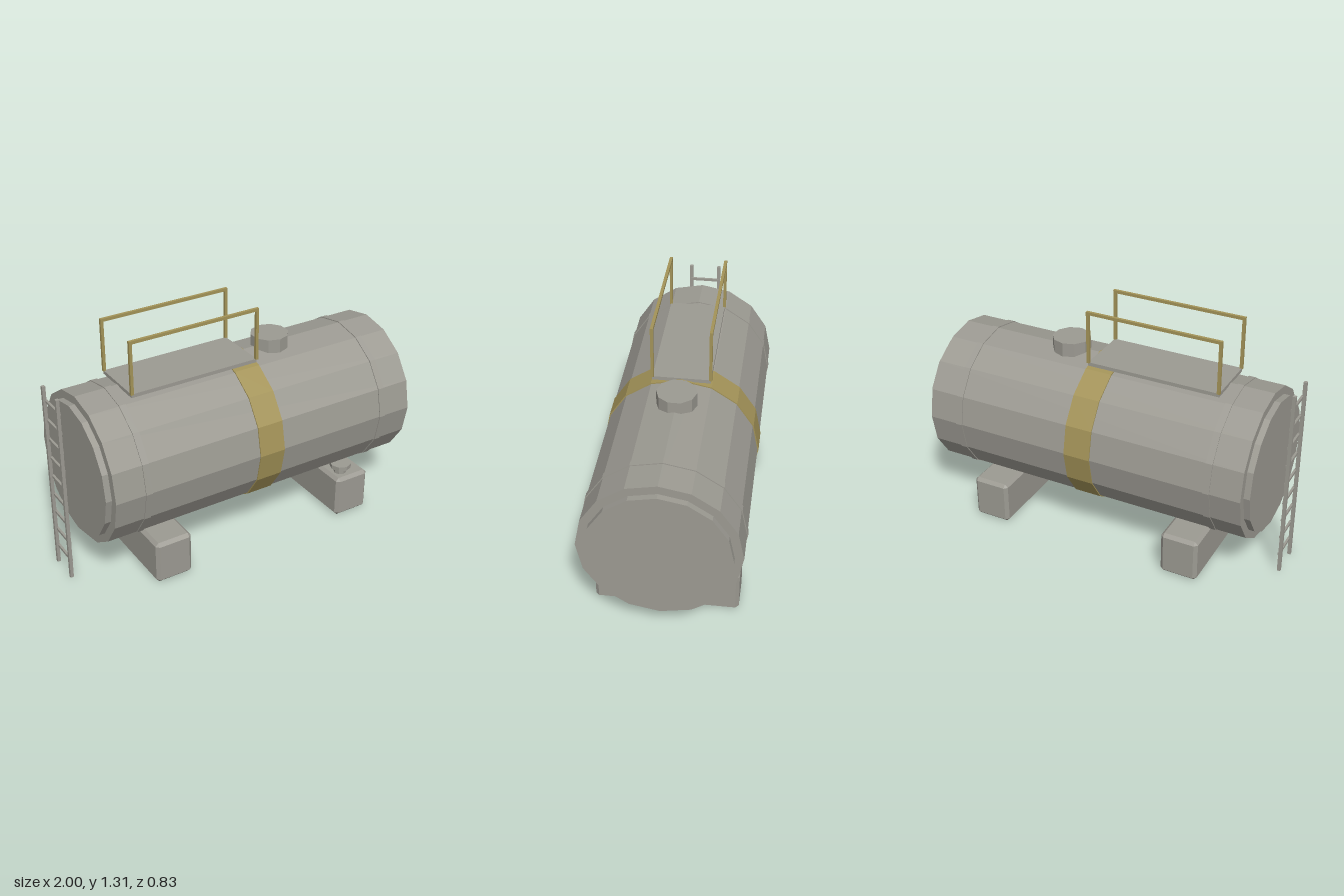
import * as THREE from 'three';
import { ConvexGeometry } from 'three/addons/geometries/ConvexGeometry.js';

const steel = new THREE.MeshStandardMaterial({ name: 'steel grey', color: 0x9c9a92, flatShading: true });
const yellow = new THREE.MeshStandardMaterial({ name: 'dull yellow', color: 0xa39358, flatShading: true });

export function createModel() {
  const model = new THREE.Group();
  model.name = 'storageTank';

  const add = (parent, name, geometry, material, x, y, z) => {
    const mesh = new THREE.Mesh(geometry, material);
    mesh.name = name;
    mesh.position.set(x, y, z);
    parent.add(mesh);
    return mesh;
  };
  const group = (name) => {
    const g = new THREE.Group();
    g.name = name;
    model.add(g);
    return g;
  };
  const box = (w, h, d) => new THREE.BoxGeometry(w, h, d);
  const drum = (radius, length) =>
    new THREE.CylinderGeometry(radius, radius, length, 16).rotateZ(Math.PI / 2);

  // Box with chamfered edges: each corner becomes three points
  const chamferBox = (w, h, d, c) => {
    const points = [];
    for (const sx of [-1, 1]) for (const sy of [-1, 1]) for (const sz of [-1, 1]) {
      const [x, y, z] = [w / 2, h / 2, d / 2];
      points.push(
        new THREE.Vector3(sx * x, sy * (y - c), sz * (z - c)),
        new THREE.Vector3(sx * (x - c), sy * y, sz * (z - c)),
        new THREE.Vector3(sx * (x - c), sy * (y - c), sz * z));
    }
    return new ConvexGeometry(points);
  };

  // Tank body, end caps and bands
  const cx = 0.05, cy = 0.599;
  add(model, 'tankBody', drum(0.411, 1.83), steel, cx, cy, 0);
  for (const s of [-1, 1]) {
    add(model, 'endCap', drum(0.366, 0.06), steel, cx + s * 0.918, cy, 0);
    add(model, 'seamBand', drum(0.416, 0.036), steel, cx + s * 0.732, cy, 0);
    add(model, 'saddleBlock', chamferBox(0.21, 0.245, 0.76, 0.018), steel, cx + s * 0.579, 0.1225, 0);
  }
  add(model, 'paintedBand', drum(0.417, 0.15), yellow, cx, cy, 0);

  // Manhole hatch
  add(model, 'hatch', new THREE.CylinderGeometry(0.105, 0.105, 0.1, 10), steel, 0.295, 1.018, 0);

  // Valve on the front of one saddle
  const valve = group('valve');
  valve.position.set(0.592, 0, 0.307);
  add(valve, 'valveBase', new THREE.CylinderGeometry(0.035, 0.035, 0.046, 8), steel, 0, 0.253, 0);
  add(valve, 'valveStem', new THREE.CylinderGeometry(0.014, 0.014, 0.05, 8), steel, 0, 0.27, 0);
  add(valve, 'valveWheel', new THREE.CylinderGeometry(0.06, 0.06, 0.024, 8), steel, 0, 0.292, 0);

  // Walkway with a guard rail on each side
  const walkway = group('walkway');
  walkway.position.x = -0.256;
  add(walkway, 'deck', box(0.74, 0.02, 0.306), steel, 0, 1.012, 0);
  for (const s of [-1, 1]) {
    const z = s * 0.152;
    add(walkway, 'topRail', box(0.75, 0.016, 0.016), yellow, 0, 1.305, z);
    for (const e of [-1, 1])
      add(walkway, 'railPost', box(0.016, 0.28, 0.016), yellow, e * 0.367, 1.16, z);
  }

  // Ladder at the right end
  const ladder = group('ladder');
  for (const s of [-1, 1])
    add(ladder, 'ladderRail', box(0.018, 1.067, 0.018), steel, -0.991, 0.5335, s * 0.081);
  for (let i = 0; i < 9; i++)
    add(ladder, 'rung', box(0.012, 0.014, 0.162), steel, -0.982, 0.102 + i * 0.11, 0);

  return model;
}
